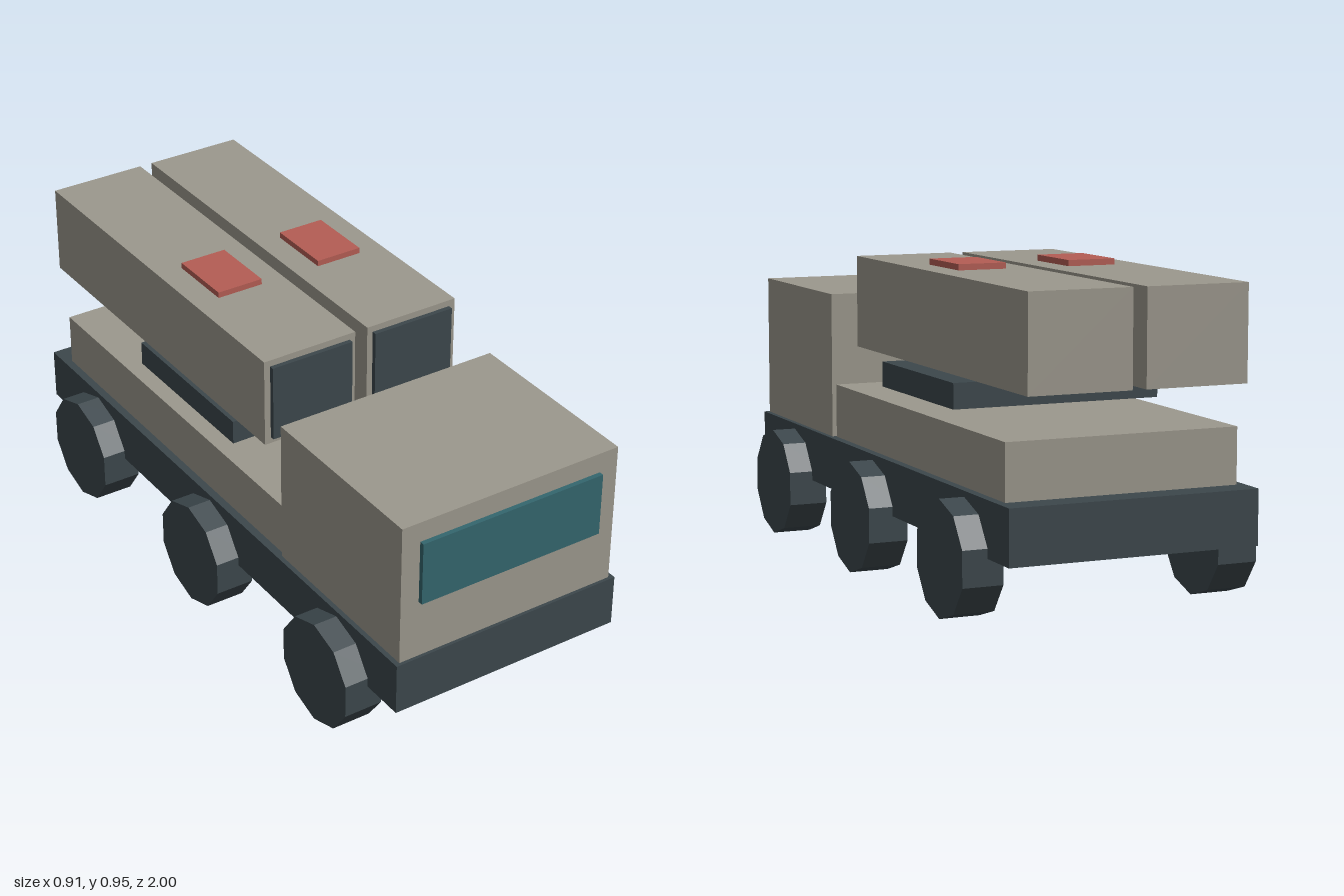
import * as THREE from 'three';

export function createModel() {
  const model = new THREE.Group();
  model.name = 'launcherTruck';

  const mat = (name, color) => {
    const m = new THREE.MeshStandardMaterial({ color, flatShading: true });
    m.name = name;
    return m;
  };
  const tan = mat('tanPaint', 0x9c988d);
  const dark = mat('darkSteel', 0x3c474c);
  const glass = mat('tealGlass', 0x34666e);
  const red = mat('redPanel', 0xb45d54);

  // Box given by its extents along each axis
  const box = (name, material, [x0, x1], [y0, y1], [z0, z1]) => {
    const mesh = new THREE.Mesh(new THREE.BoxGeometry(x1 - x0, y1 - y0, z1 - z0), material);
    mesh.position.set((x0 + x1) / 2, (y0 + y1) / 2, (z0 + z1) / 2);
    mesh.name = name;
    model.add(mesh);
  };

  // Chassis, cab and rear deck
  box('chassis', dark, [-0.38, 0.38], [0.193, 0.355], [-0.987, 0.995]);
  box('cab', tan, [-0.365, 0.365], [0.355, 0.803], [0.385, 0.985]);
  box('windshield', glass, [-0.305, 0.305], [0.54, 0.74], [0.98, 1.0]);
  box('deck', tan, [-0.355, 0.355], [0.355, 0.52], [-0.907, 0.374]);

  // Floating mount under the launch pods
  box('podMount', dark, [-0.325, 0.325], [0.551, 0.627], [-0.485, 0.057]);

  // Ten-sided wheel with a corner pointing straight down
  const wheelGeometry = new THREE.CylinderGeometry(0.169, 0.169, 0.122, 10, 1, false, Math.PI / 2);
  wheelGeometry.rotateZ(Math.PI / 2);

  for (const [side, s] of [['left', 1], ['right', -1]]) {
    const span = (a, b) => (s > 0 ? [a, b] : [-b, -a]);

    // Launch pod with its front cover and roof panel
    box(`${side}Pod`, tan, span(0.021, 0.332), [0.653, 0.932], [-1.0, 0.247]);
    box(`${side}PodCover`, dark, span(0.04, 0.312), [0.673, 0.912], [0.24, 0.262]);
    box(`${side}PodPanel`, red, span(0.1, 0.25), [0.925, 0.95], [-0.349, -0.135]);

    // Three wheels per side
    ['front', 'middle', 'rear'].forEach((place, i) => {
      const wheel = new THREE.Mesh(wheelGeometry, dark);
      wheel.name = `${side}${place[0].toUpperCase()}${place.slice(1)}Wheel`;
      wheel.position.set(s * 0.394, 0.169, 0.695 - i * 0.691);
      model.add(wheel);
    });
  }

  return model;
}
